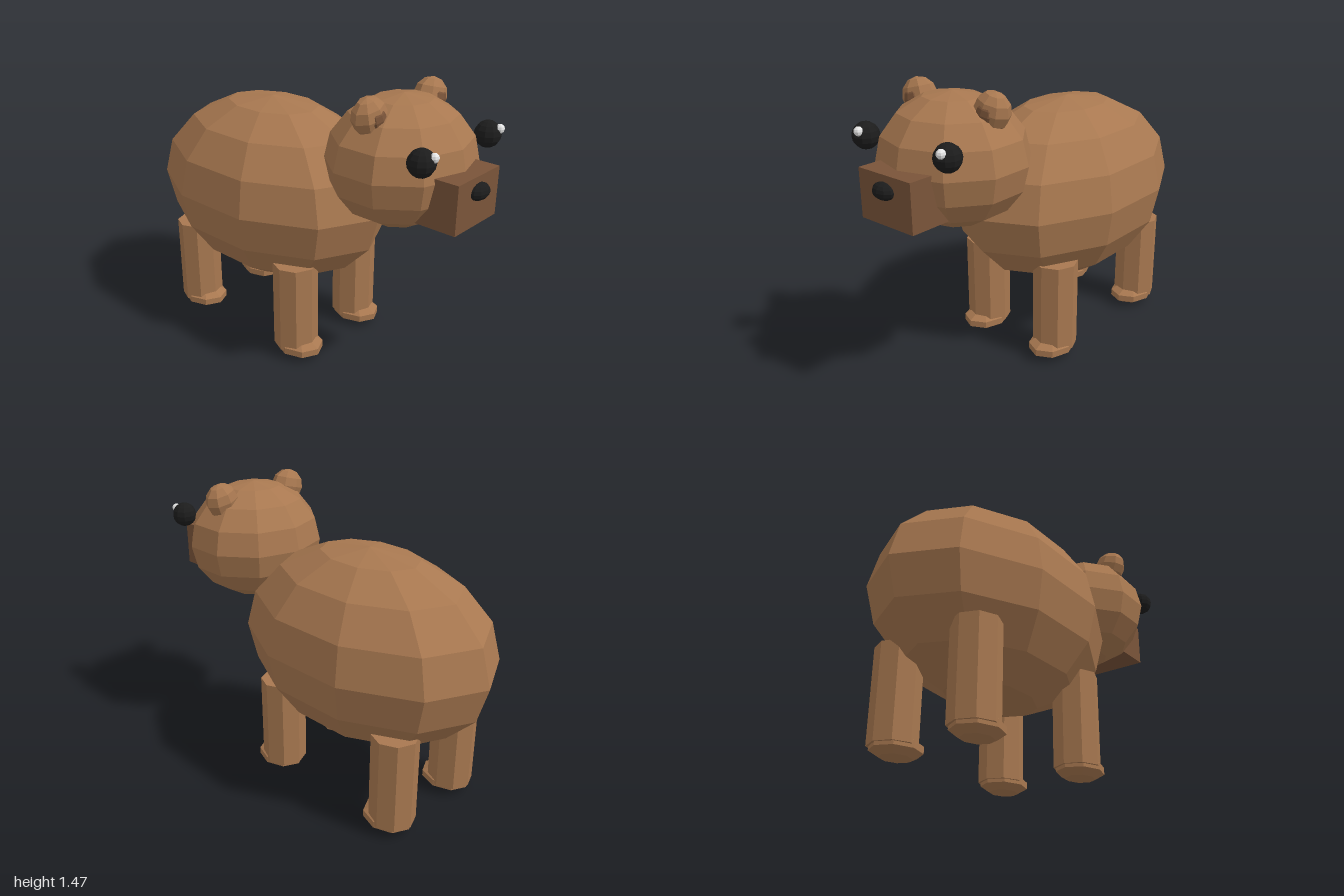
import * as THREE from 'three';

const mat = (name, color) => {
  const m = new THREE.MeshStandardMaterial({ color, flatShading: true });
  m.name = name;
  return m;
};

export function createModel() {
  const bear = new THREE.Group();
  bear.name = 'bear';
  const fur = mat('brown fur', 0xa87850);
  const darkFur = mat('dark brown fur', 0x7a5439);
  const black = mat('black', 0x1c1c1c);
  const white = mat('white', 0xffffff);

  const add = (name, geometry, material, [x, y, z], parent = bear) => {
    const mesh = new THREE.Mesh(geometry, material);
    mesh.name = name;
    mesh.position.set(x, y, z);
    parent.add(mesh);
    return mesh;
  };
  // Faceted ellipsoid with a seam of vertices on the z axis
  const ellipsoid = (rx, ry, rz, sides, rows) =>
    new THREE.SphereGeometry(1, sides, rows).rotateY(Math.PI / 2).scale(rx, ry, rz);

  // Trunk and head
  add('body', ellipsoid(0.484, 0.485, 0.715, 10, 8), fur, [0, 0.79, -0.285]);
  add('head', ellipsoid(0.367, 0.31, 0.345, 10, 8), fur, [0, 1.135, 0.545]);

  // Square muzzle with a button nose
  add('muzzle', new THREE.BoxGeometry(0.323, 0.23, 0.25), darkFur, [0, 1.045, 0.83]);
  add('nose', ellipsoid(0.063, 0.04, 0.045, 10, 8), black, [0, 1.09, 0.955]);

  for (const side of [-1, 1]) {
    const label = side > 0 ? 'left' : 'right';

    // Eyes; both glints sit toward the same side
    add(label + 'Eye', ellipsoid(0.063, 0.063, 0.063, 10, 8), black, [side * 0.255, 1.255, 0.83]);
    add(label + 'EyeGlint', ellipsoid(0.022, 0.022, 0.022, 8, 6), white, [side * 0.255 + 0.015, 1.285, 0.88]);

    // Ears, leaning outward
    const ear = new THREE.Group();
    ear.name = label + 'Ear';
    ear.position.set(side * 0.225, 1.383, 0.53);
    ear.rotation.z = -side * 0.25;
    bear.add(ear);
    add('outerEar', ellipsoid(0.092, 0.088, 0.074, 8, 6), fur, [0, 0, 0], ear);
    add('innerEar', ellipsoid(0.05, 0.052, 0.035, 8, 6), darkFur, [0, -0.008, 0.042], ear);

    // Legs and feet
    for (const [end, z] of [['Front', 0.09], ['Back', -0.675]]) {
      add(label + end + 'Leg', new THREE.CylinderGeometry(0.115, 0.115, 0.47, 8), fur, [side * 0.232, 0.29, z]);
      add(label + end + 'Foot', ellipsoid(0.116, 0.055, 0.138, 8, 5), fur, [side * 0.232, 0.055, z + 0.025]);
    }
  }
  return bear;
}
